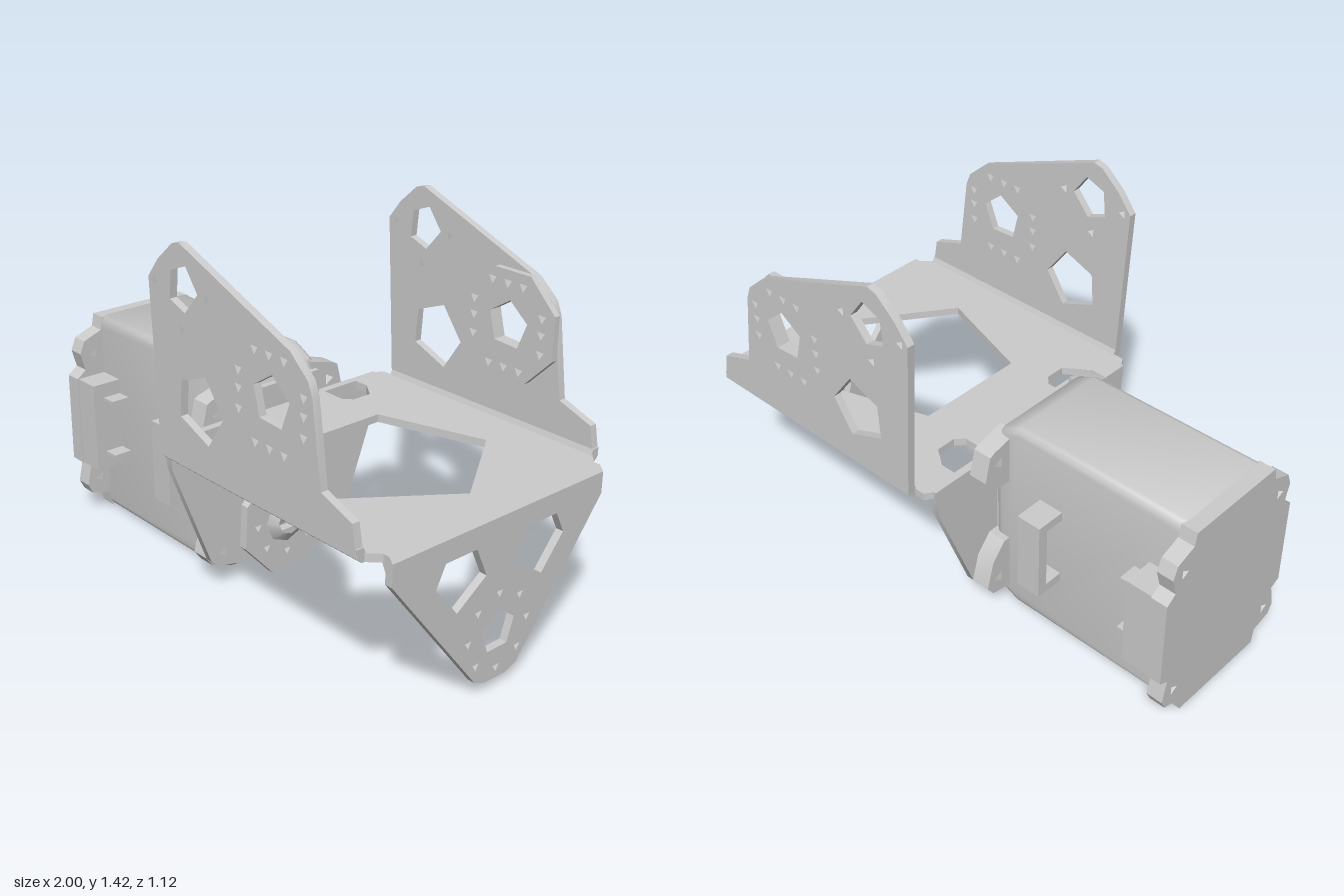
import * as THREE from 'three';
import { toCreasedNormals } from 'three/addons/utils/BufferGeometryUtils.js';

const mat = new THREE.MeshStandardMaterial({ color: 0xcccccc, side: THREE.DoubleSide });
const V = (p) => new THREE.Vector2(p[0], p[1]);
const mirrorU = (pts) => pts.map(([u, v]) => [-u, v]);

// regular polygon, used for holes and discs
const ngon = (u, v, r, n, turn = 0) => Array.from({ length: n }, (_, i) => {
  const a = turn + (i / n) * Math.PI * 2;
  return [u + r * Math.cos(a), v + r * Math.sin(a)];
});

function extrude(pts, holes, depth, bevel = 0) {
  const shape = new THREE.Shape(pts.map(V));
  holes.forEach((h) => shape.holes.push(new THREE.Path(h.map(V))));
  return new THREE.ExtrudeGeometry(shape, {
    depth, bevelEnabled: bevel > 0, bevelSize: bevel, bevelThickness: bevel,
    bevelOffset: -bevel, bevelSegments: 3,
  });
}

export function createModel() {
  const root = new THREE.Group();
  const add = (parent, name, geo, crease = 0.5) => {
    const m = new THREE.Mesh(toCreasedNormals(geo, crease), mat);
    m.name = name;
    parent.add(m);
    return m;
  };
  // outline in (x, y), thickness z0..z1
  const plateZ = (g, name, pts, holes, z0, z1) =>
    add(g, name, extrude(pts, holes, z1 - z0).translate(0, 0, z0));
  // outline in (z, y), thickness x0..x1
  const plateX = (g, name, pts, holes, x0, x1) =>
    add(g, name, extrude(pts, holes, x1 - x0).rotateY(-Math.PI / 2).translate(x1, 0, 0));
  const box = (g, name, x0, x1, y0, y1, z0, z1) =>
    add(g, name, new THREE.BoxGeometry(x1 - x0, y1 - y0, z1 - z0)
      .translate((x0 + x1) / 2, (y0 + y1) / 2, (z0 + z1) / 2));

  // ---------- bracket ----------
  const bracket = new THREE.Group();
  bracket.name = 'bracket';
  root.add(bracket);

  // base plate, outline in (x, z)
  const notch = [[-0.1, 0.22], [0.0, 0.22], [0.03, 0.25], [0.03, 0.33], [-0.04, 0.38], [-0.1, 0.38]];
  const half = [[-0.12, 0.5], [-0.1, 0.53], [0.92, 0.53], [0.97, 0.48]];
  const base = [...half, ...half.map(([x, z]) => [x, -z]).reverse()];
  const window_ = [[0.19, 0.22], [0.6, 0.35], [0.85, 0], [0.6, -0.35], [0.19, -0.22]];
  add(bracket, 'basePlate',
    extrude(base, [window_, notch, notch.map(([x, z]) => [x, -z])], 0.03)
      .rotateX(Math.PI / 2).translate(0, 0.66, 0));

  // side plates with pentagon cut-outs and a square of screw holes
  const side = [[-0.06, 0.65], [-0.095, 1.28], [-0.04, 1.35], [0.04, 1.42], [0.08, 1.43], [0.62, 1.22],
    [0.7, 1.15], [0.72, 1.1], [0.76, 0.81], [0.9, 0.76], [0.92, 0.65]];
  const screws = [];
  for (const u of [0.45, 0.52, 0.59]) for (const v of [1.18, 0.87]) screws.push([u, v]);
  for (const v of [1.09, 1.03, 0.96]) for (const u of [0.37, 0.68]) screws.push([u, v]);
  const screwHoles = screws.map(([u, v]) => ngon(u, v, 0.02, 3, 0.5));
  const hub = ngon(0.53, 1.03, 0.09, 5, 0.25);
  const sideHoles = [
    [[0.02, 1.23], [0.03, 1.33], [0.11, 1.36], [0.17, 1.28], [0.1, 1.2]],
    [[0.06, 0.83], [0.07, 0.96], [0.2, 1.01], [0.29, 0.89], [0.21, 0.77]],
    ngon(-0.06, 1.275, 0.018, 3), ngon(0.08, 1.14, 0.018, 3), ngon(0.215, 1.275, 0.018, 3),
    hub, ...screwHoles,
  ];
  for (const s of [1, -1]) {
    plateZ(bracket, s > 0 ? 'leftSidePlate' : 'rightSidePlate', side, sideHoles,
      s > 0 ? 0.533 : -0.562, s > 0 ? 0.562 : -0.533);
    // rounded bend from base to side plate, outline in (z, y)
    const bend = [[0.5, 0.63], [0.54, 0.63], [0.557, 0.645], [0.562, 0.68], [0.533, 0.68], [0.525, 0.66], [0.5, 0.66]];
    plateX(bracket, 'sideBend', s > 0 ? bend : mirrorU(bend), [], -0.06, 0.92);
  }
  // raised disc on the inside of the right plate
  plateZ(bracket, 'sideDisc', ngon(0.54, 1.03, 0.212, 8, Math.PI / 8), [hub, ...screwHoles], -0.533, -0.508);

  // end plate: tapered tongue with three pentagon windows
  const eye = [[0.3, 0.48], [0.26, 0.56], [0.12, 0.56], [0.07, 0.45], [0.2, 0.36]];
  const ring = ngon(0, 0.22, 0.14, 8).map(([u, v]) => ngon(u, v, 0.017, 3, 0.5));
  const end = [[0.49, 0.64], [0.49, 0.56], [0.1, 0.06], [0.05, 0.04], [-0.05, 0.04], [-0.1, 0.06], [-0.49, 0.56], [-0.49, 0.64]];
  plateX(bracket, 'endPlate', end, [eye, mirrorU(eye), ngon(0, 0.22, 0.08, 5, Math.PI / 2), ...ring], 0.97, 1.0);
  plateZ(bracket, 'endBend', [[0.93, 0.63], [0.955, 0.63], [0.97, 0.6], [1, 0.6], [1, 0.64], [0.985, 0.66], [0.93, 0.66]],
    [], -0.49, 0.49);

  // inner plate against the motor
  const inner = [[0.5, 0.66], [0.49, 0.55], [0.33, 0.13], [0.3, 0.1], [0.2, 0.08],
    [-0.2, 0.08], [-0.3, 0.1], [-0.33, 0.13], [-0.49, 0.55], [-0.5, 0.66]];
  plateX(bracket, 'innerPlate', inner, [ngon(0.27, 0.15, 0.025, 3), ngon(-0.27, 0.15, 0.025, 3)], -0.13, -0.102);

  // output horn on the inner plate
  const horn = new THREE.Group();
  horn.name = 'horn';
  root.add(horn);
  const rim = [[0.07, 0.005], [-0.1, 0.035], [-0.19, 0.15], [-0.19, 0.3], [-0.07, 0.43],
    [0.07, 0.43], [0.19, 0.32], [0.2, 0.15]];
  plateX(horn, 'hornDisc', rim, [ngon(0, 0.22, 0.06, 5, Math.PI / 2), ...ring], -0.095, -0.06);
  add(horn, 'hornHub', new THREE.CylinderGeometry(0.06, 0.1, 0.025, 8, 1, true)
    .rotateZ(-Math.PI / 2).translate(-0.048, 0.22, 0));
  add(horn, 'hornScrew', new THREE.ConeGeometry(0.045, 0.05, 5)
    .rotateZ(-Math.PI / 2).translate(-0.065, 0.22, 0));

  // ---------- motor ----------
  const motor = new THREE.Group();
  motor.name = 'motor';
  root.add(motor);
  const body = [[-0.96, 0.01], [-0.24, 0.005], [-0.16, 0.04], [-0.135, 0.08], [-0.135, 0.75],
    [-0.16, 0.79], [-0.24, 0.83], [-0.94, 0.835], [-0.97, 0.8], [-0.98, 0.06]];
  add(motor, 'motorBody', extrude(body, [], 0.37, 0.03).translate(0, 0, -0.185), 1.0);

  // back cap with stepped outline in (z, y)
  const capHalf = [[0.21, 0.01], [0.22, 0.07], [0.3, 0.09], [0.32, 0.13], [0.3, 0.22], [0.34, 0.24],
    [0.34, 0.6], [0.3, 0.63], [0.32, 0.7], [0.3, 0.75], [0.22, 0.78], [0.21, 0.83]];
  const capHoles = [[0.26, 0.15], [-0.26, 0.15], [0.26, 0.69], [-0.26, 0.69]].map(([u, v]) => ngon(u, v, 0.022, 3));
  plateX(motor, 'backCap', [...capHalf, ...mirrorU(capHalf).reverse()], capHoles, -1, -0.935);

  for (const s of [1, -1]) {
    const flank = new THREE.Group();
    flank.name = s > 0 ? 'leftFlank' : 'rightFlank';
    motor.add(flank);
    const zBox = (name, x0, x1, y0, y1, z0, z1) =>
      box(flank, name, x0, x1, y0, y1, Math.min(s * z0, s * z1), Math.max(s * z0, s * z1));
    zBox('connectorBlock', -0.985, -0.83, 0.24, 0.6, 0.2, 0.335);
    for (const y of [0.3, 0.53]) zBox('connectorPin', -0.83, -0.77, y, y + 0.012, 0.21, 0.29);

    // cable guide: bar standing off on two feet
    zBox('guideBar', -0.45, -0.35, 0.26, 0.58, 0.29, 0.33);
    for (const y of [0.26, 0.545]) zBox('guideFoot', -0.45, -0.35, y, y + 0.035, 0.2, 0.3);

    // mounting ears with screw holes, outline in (z, y)
    const upper = [[0.18, 0.58], [0.28, 0.58], [0.335, 0.64], [0.31, 0.74], [0.29, 0.75], [0.18, 0.78]];
    const lower = [[0.18, 0.07], [0.3, 0.09], [0.33, 0.13], [0.3, 0.24], [0.24, 0.31], [0.18, 0.31]];
    const flip = (p) => (s > 0 ? p : mirrorU(p));
    plateX(flank, 'upperEar', flip(upper), [flip(ngon(0.265, 0.69, 0.025, 3))], -0.205, -0.13);
    plateX(flank, 'lowerEar', flip(lower), [flip(ngon(0.27, 0.15, 0.025, 3))], -0.205, -0.13);
  }
  // raised front face frame
  box(motor, 'frontFace', -0.14, -0.11, 0.1, 0.75, -0.2, 0.2);

  return root;
}
